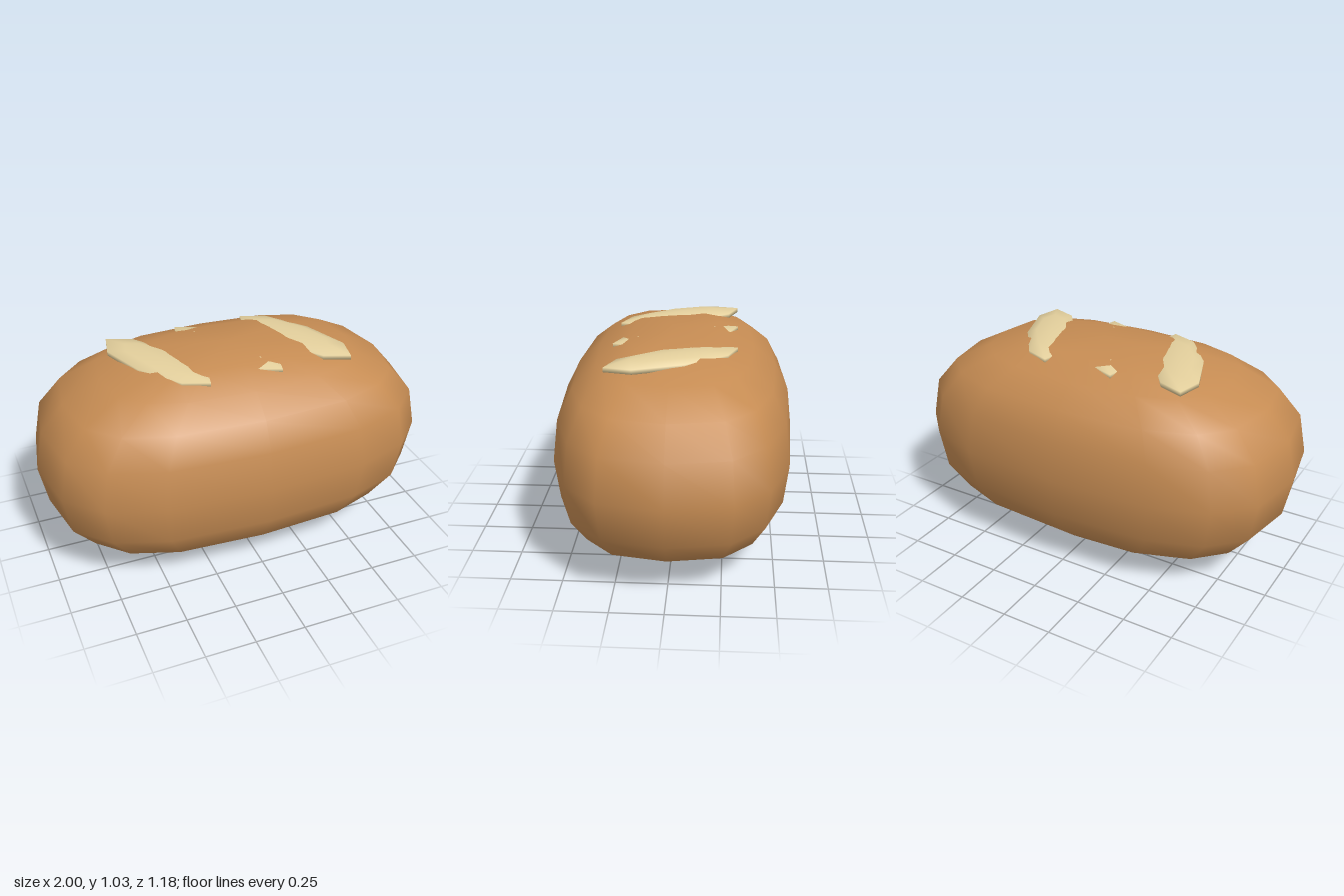
import * as THREE from 'three';
import { mergeVertices } from 'three/addons/utils/BufferGeometryUtils.js';

const crust = new THREE.MeshStandardMaterial({ color: 0xc68c53 });
crust.name = 'crust';
const cream = new THREE.MeshStandardMaterial({ color: 0xe3cf9c });
cream.name = 'cream';

const softPow = (v, e) => Math.sign(v) * Math.pow(Math.abs(v), e);

// Rounded ellipsoid: exponents below 1 make the section boxier
function roundedBody(w, h, d, around, up, eAround, eUp) {
  const geo = new THREE.SphereGeometry(1, around, up);
  const p = geo.attributes.position;
  for (let i = 0; i < p.count; i++) {
    const x = p.getX(i), y = p.getY(i), z = p.getZ(i);
    const r = Math.hypot(x, z);
    const ring = r < 1e-5 ? 0 : softPow(r, eUp);
    const a = Math.atan2(z, x);
    const c = Math.round(Math.cos(a) * 1e6) / 1e6;
    const s = Math.round(Math.sin(a) * 1e6) / 1e6;
    p.setXYZ(i, w * ring * softPow(c, eAround), h * softPow(y, eUp), d * ring * softPow(s, eAround));
  }
  // weld the seam and poles so shading stays smooth
  geo.deleteAttribute('uv');
  geo.deleteAttribute('normal');
  const welded = mergeVertices(geo, 1e-4);
  welded.computeVertexNormals();
  return welded;
}

export function createModel() {
  const group = new THREE.Group();
  group.name = 'breadLoaf';

  // Loaf
  const loaf = new THREE.Mesh(roundedBody(1, 0.515, 0.592, 16, 10, 0.7, 0.8), crust);
  loaf.name = 'loaf';
  loaf.position.y = 0.521;
  group.add(loaf);

  // Three slanted score marks, half sunk into the crust
  const markGeo = roundedBody(0.131, 0.036, 0.368, 8, 5, 1, 1);
  ['rightScore', 'middleScore', 'leftScore'].forEach((name, i) => {
    const mark = new THREE.Mesh(markGeo, cream);
    mark.name = name;
    mark.position.set((i - 1) * 0.367, 0.99, 0);
    mark.rotation.y = 0.5;
    group.add(mark);
  });

  return group;
}
